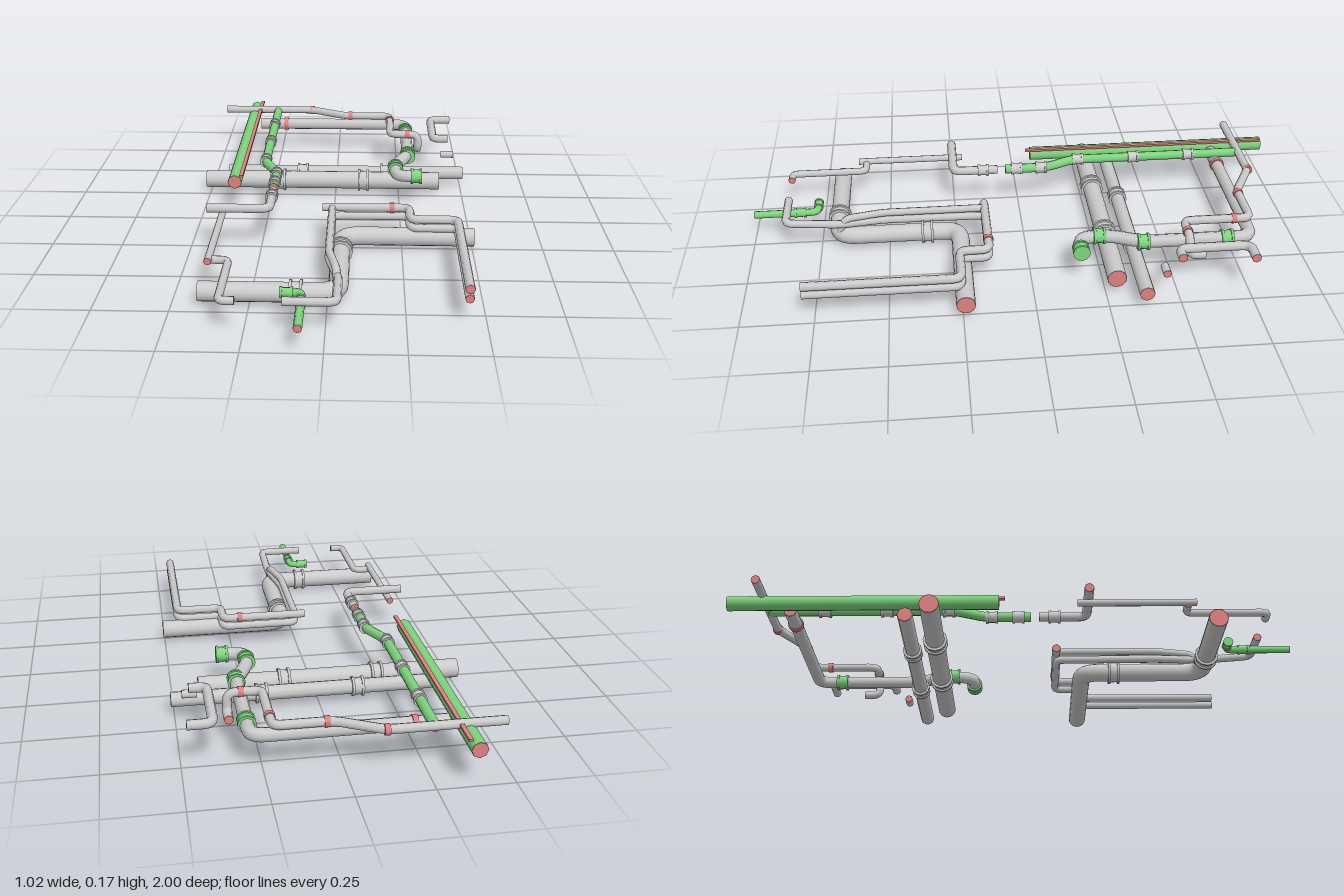
import * as THREE from 'three';

const mat = (color) => new THREE.MeshStandardMaterial({ color, side: THREE.DoubleSide });
const GREY = mat(0xcccccc), GREEN = mat(0x7fd67f), RED = mat(0xe08080);
const V = (p) => new THREE.Vector3(...p);

// Curve that visits each point of a list exactly
class PointPath extends THREE.Curve {
  constructor(points) { super(); this.points = points; }
  getPointAt(t) { return this.points[Math.round(t * (this.points.length - 1))].clone(); }
  getTangentAt(t) {
    const p = this.points, n = p.length - 1, i = Math.round(t * n), d = new THREE.Vector3();
    if (i > 0) d.add(p[i].clone().sub(p[i - 1]).normalize());
    if (i < n) d.add(p[i + 1].clone().sub(p[i]).normalize());
    return d.normalize();
  }
}

// Straight runs joined by rounded elbows
function roundedPoints(corners, bend) {
  const c = corners.map(V), out = [c[0]];
  for (let i = 1; i < c.length - 1; i++) {
    const a = c[i - 1].clone().sub(c[i]), b = c[i + 1].clone().sub(c[i]);
    const r = Math.min(bend, a.length() * 0.48, b.length() * 0.48);
    const q = new THREE.QuadraticBezierCurve3(
      c[i].clone().addScaledVector(a.normalize(), r), c[i], c[i].clone().addScaledVector(b.normalize(), r));
    out.push(...q.getPoints(6));
  }
  out.push(c[c.length - 1]);
  return out;
}

export function createModel() {
  const model = new THREE.Group();

  const add = (name, geometry, material, parent = model) => {
    const mesh = new THREE.Mesh(geometry, material);
    mesh.name = name;
    parent.add(mesh);
    return mesh;
  };

  // Pipe with an end disc at both ends
  function pipe(name, radius, corners, material = GREY) {
    const g = new THREE.Group();
    g.name = name;
    model.add(g);
    const sides = radius > 0.03 ? 16 : 8;
    const pts = roundedPoints(corners, radius * 2), n = pts.length - 1;
    add(name + 'Wall', new THREE.TubeGeometry(new PointPath(pts), n, radius, sides), material, g);
    [[0, 1], [n, n - 1]].forEach(([e, k]) => {
      const cap = add(name + 'End', new THREE.CircleGeometry(radius * 0.98, sides), RED, g);
      cap.position.copy(pts[e]);
      cap.lookAt(pts[e].clone().multiplyScalar(2).sub(pts[k]));
    });
  }

  // Joint: two flanges around a sleeve, or one plain band
  function joint(name, at, axis, radius, material = GREY, band = false) {
    const g = new THREE.Group();
    g.name = name;
    g.position.set(...at);
    g.quaternion.setFromUnitVectors(new THREE.Vector3(0, 1, 0), V(axis).normalize());
    model.add(g);
    const ring = (part, r, h, y) =>
      add(part, new THREE.CylinderGeometry(r, r, h, 12), material, g).position.set(0, y, 0);
    if (band) return ring('band', radius * 1.15, 0.018, 0);
    ring('sleeve', radius * 1.1, 0.036, 0);
    for (const s of [-1, 1]) ring('flange', radius * 1.28, 0.009, s * 0.017);
  }

  // Large mains
  pipe('rearMain', 0.034, [[-0.515, 0.057, -0.29], [0.41, 0.057, -0.29]]);
  pipe('rearSecondMain', 0.027, [[-0.435, 0.058, -0.378], [0.51, 0.058, -0.378]]);
  pipe('frontMain', 0.033, [[-0.415, 0.05, 0.687], [0.035, 0.05, 0.687], [0.035, 0.05, 0.24], [0.505, 0.05, 0.24]]);

  // Front stacked lines
  pipe('frontUpperLine', 0.016, [[-0.035, 0.12, 0.145], [0.278, 0.12, 0.145], [0.278, 0.12, 0.25],
    [0.445, 0.12, 0.25], [0.445, 0.12, 0.79]]);
  pipe('frontLowerLine', 0.015, [[0.445, 0.087, 0.79], [0.445, 0.087, 0.25], [0.278, 0.087, 0.25],
    [0.278, 0.087, 0.145], [0, 0.087, 0.145], [0, 0.09, 0.52], [0.035, 0.1, 0.68],
    [0.035, 0.115, 0.875], [-0.13, 0.115, 0.875]]);
  pipe('frontBranchLine', 0.014, [[0, 0.12, 0.145], [0, 0.12, 0.52], [0.03, 0.12, 0.66], [0.03, 0.06, 0.68]]);

  // Front right-hand lines
  pipe('crossLine', 0.017, [[-0.22, 0.155, 0.08], [-0.22, 0.155, 0.25], [-0.44, 0.155, 0.25]]);
  pipe('sideLine', 0.013, [[-0.39, 0.122, 0.21], [-0.39, 0.122, 0.62]]);
  pipe('sideReturnLine', 0.014, [[-0.39, 0.115, 0.59], [-0.325, 0.115, 0.59], [-0.325, 0.115, 0.875], [-0.275, 0.115, 0.875]]);
  pipe('frontGreenBranch', 0.014, [[-0.145, 0.09, 0.765], [-0.076, 0.09, 0.765], [-0.076, 0.09, 1]], GREEN);

  // Rear green lines
  pipe('greenFeed', 0.018, [[-0.22, 0.155, 0.05], [-0.22, 0.155, -0.11], [-0.272, 0.155, -0.22], [-0.272, 0.155, -0.88]], GREEN);
  pipe('greenTrunk', 0.027, [[-0.377, 0.132, -1], [-0.377, 0.132, -0.06]], GREEN);
  add('trunkStrip', new THREE.BoxGeometry(0.014, 0.008, 0.95), RED).position.set(-0.35, 0.162, -0.515);

  // Rear loop
  pipe('rearUpperLine', 0.016, [[-0.5, 0.16, -0.88], [-0.12, 0.16, -0.88], [0.03, 0.16, -0.8], [0.22, 0.16, -0.8],
    [0.22, 0.16, -0.557], [0.335, 0.16, -0.557], [0.335, 0.09, -0.557], [0.335, 0.09, -0.615]]);
  pipe('rearLowerLine', 0.024, [[-0.34, 0.125, -0.79], [0.288, 0.125, -0.79], [0.288, 0.125, -0.4],
    [0.236, 0.125, -0.28], [0.236, 0.12, -0.175], [0.335, 0.12, -0.175]]);
  pipe('rearBypass', 0.017, [[0.478, 0.16, -0.755], [0.395, 0.16, -0.755], [0.395, 0.16, -0.505], [0.455, 0.16, -0.505]]);
  pipe('rearStub', 0.015, [[0.425, 0.112, -0.45], [0.475, 0.112, -0.45]]);

  // Flanged joints on the mains and green feed
  const X = [1, 0, 0], Z = [0, 0, 1];
  for (const x of [-0.22, 0.11]) joint('rearMainJoint', [x, 0.057, -0.29], X, 0.034);
  for (const x of [-0.135, 0.2]) joint('rearSecondMainJoint', [x, 0.058, -0.378], X, 0.027);
  joint('frontMainJoint', [-0.1, 0.05, 0.687], X, 0.033);
  joint('frontMainJoint', [0.035, 0.05, 0.36], Z, 0.033);
  for (const z of [-0.68, -0.46, -0.24]) joint('feedJoint', [-0.272, 0.155, z], Z, 0.018);
  for (const z of [-0.09, 0.005, 0.135]) joint('feedJoint', [-0.22, 0.155, z], Z, 0.018);

  // Green joints
  for (const z of [-0.7, -0.4]) joint('loopJoint', [0.288, 0.125, z], Z, 0.024, GREEN);
  joint('loopJoint', [0.236, 0.125, -0.25], Z, 0.024, GREEN);
  joint('loopJoint', [0.315, 0.12, -0.175], X, 0.024, GREEN);
  joint('branchJoint', [-0.125, 0.09, 0.765], X, 0.014, GREEN);
  joint('branchJoint', [-0.076, 0.09, 0.83], Z, 0.014, GREEN);

  // Red bands
  for (const [x, z] of [[-0.12, -0.88], [0.05, -0.8], [0.29, -0.557]]) joint('redBand', [x, 0.16, z], X, 0.016, RED, true);
  joint('redBand', [0.22, 0.16, -0.74], Z, 0.016, RED, true);
  joint('redBand', [-0.23, 0.125, -0.79], X, 0.024, RED, true);
  joint('redBand', [0.215, 0.12, 0.145], X, 0.016, RED, true);

  return model;
}
